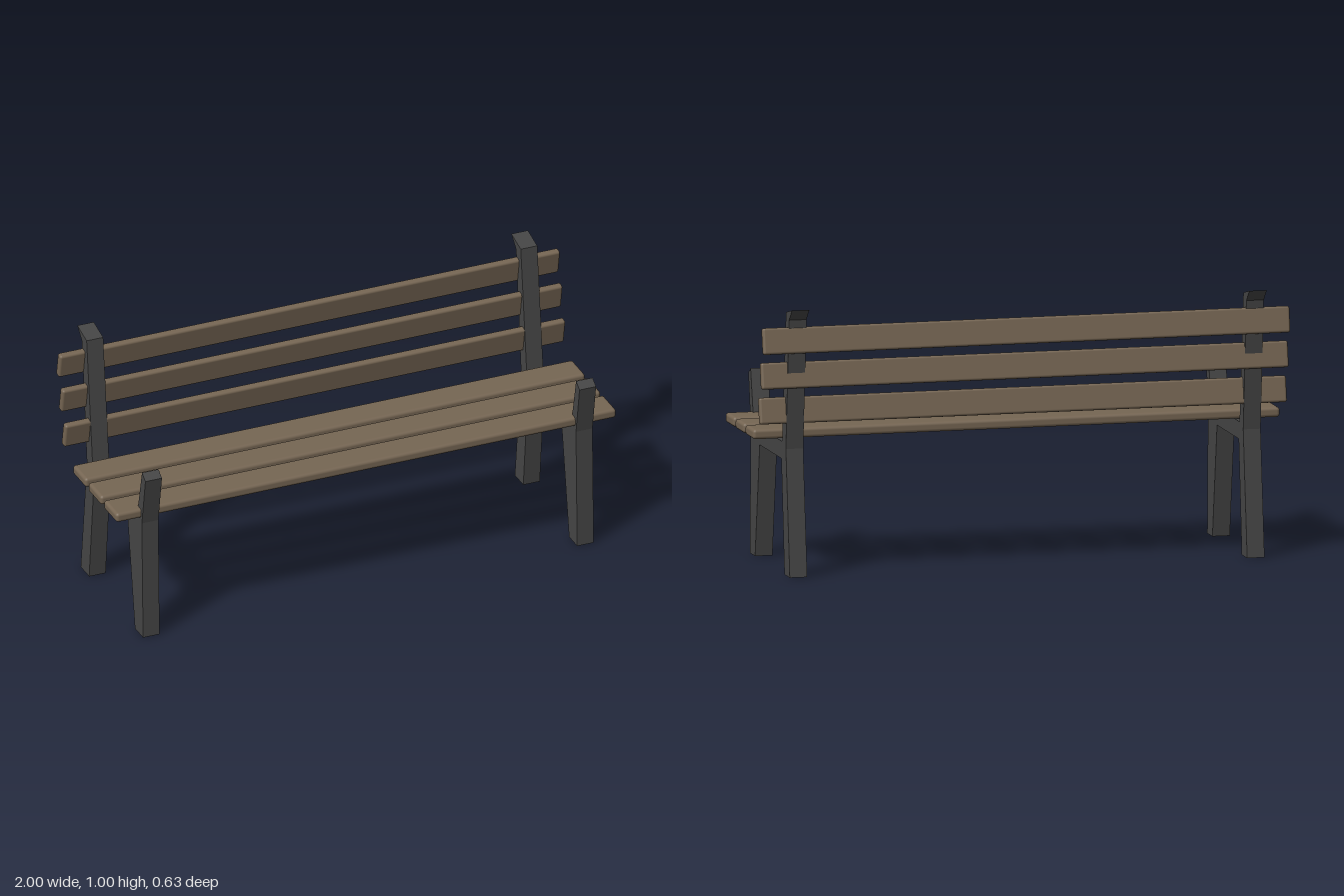
import * as THREE from 'three';
import { RoundedBoxGeometry } from 'three/addons/geometries/RoundedBoxGeometry.js';

export function createModel() {
  const bench = new THREE.Group();
  bench.name = 'parkBench';

  const wood = new THREE.MeshStandardMaterial({ color: 0x766653 });
  wood.name = 'brown wood';
  const metal = new THREE.MeshStandardMaterial({ color: 0x464646 });
  metal.name = 'dark iron';

  // Side frame: one outline (z, y) of legs, seat rail, front post and back post
  const outline = [
    [0.295, 0], [0.284, 0.475], [0.317, 0.668], [0.285, 0.689],
    [0.24, 0.49], [-0.173, 0.49], [-0.228, 0.98], [-0.315, 1],
    [-0.272, 0.957], [-0.226, 0.47], [-0.283, 0], [-0.205, 0],
    [-0.16, 0.425], [0.153, 0.425], [0.22, 0],
  ].map(([z, y]) => new THREE.Vector2(z, y));
  const frameWidth = 0.066;
  const frameGeometry = new THREE.ExtrudeGeometry(new THREE.Shape(outline), {
    depth: frameWidth,
    bevelEnabled: false,
  });
  frameGeometry.translate(0, 0, -frameWidth / 2);
  frameGeometry.rotateY(-Math.PI / 2);

  for (const [name, x] of [['leftFrame', 0.868], ['rightFrame', -0.868]]) {
    const frame = new THREE.Mesh(frameGeometry, metal);
    frame.name = name;
    frame.position.x = x;
    bench.add(frame);
  }

  function addSlat(name, geometry, y, z, tilt) {
    const slat = new THREE.Mesh(geometry, wood);
    slat.name = name;
    slat.position.set(0, y, z);
    slat.rotation.x = tilt;
    bench.add(slat);
  }

  // Seat slats, front to back
  const seatGeometry = new RoundedBoxGeometry(2, 0.037, 0.121, 3, 0.012);
  [0.217, 0.073, -0.071].forEach((z, i) =>
    addSlat(`seatSlat${i + 1}`, seatGeometry, 0.512, z, 0));

  // Back slats, bottom to top, leaning with the back posts
  const backGeometry = new RoundedBoxGeometry(2, 0.098, 0.029, 3, 0.009);
  [[0.613, -0.214], [0.747, -0.24], [0.88, -0.264]].forEach(([y, z], i) =>
    addSlat(`backSlat${i + 1}`, backGeometry, y, z, 0.18));

  return bench;
}
